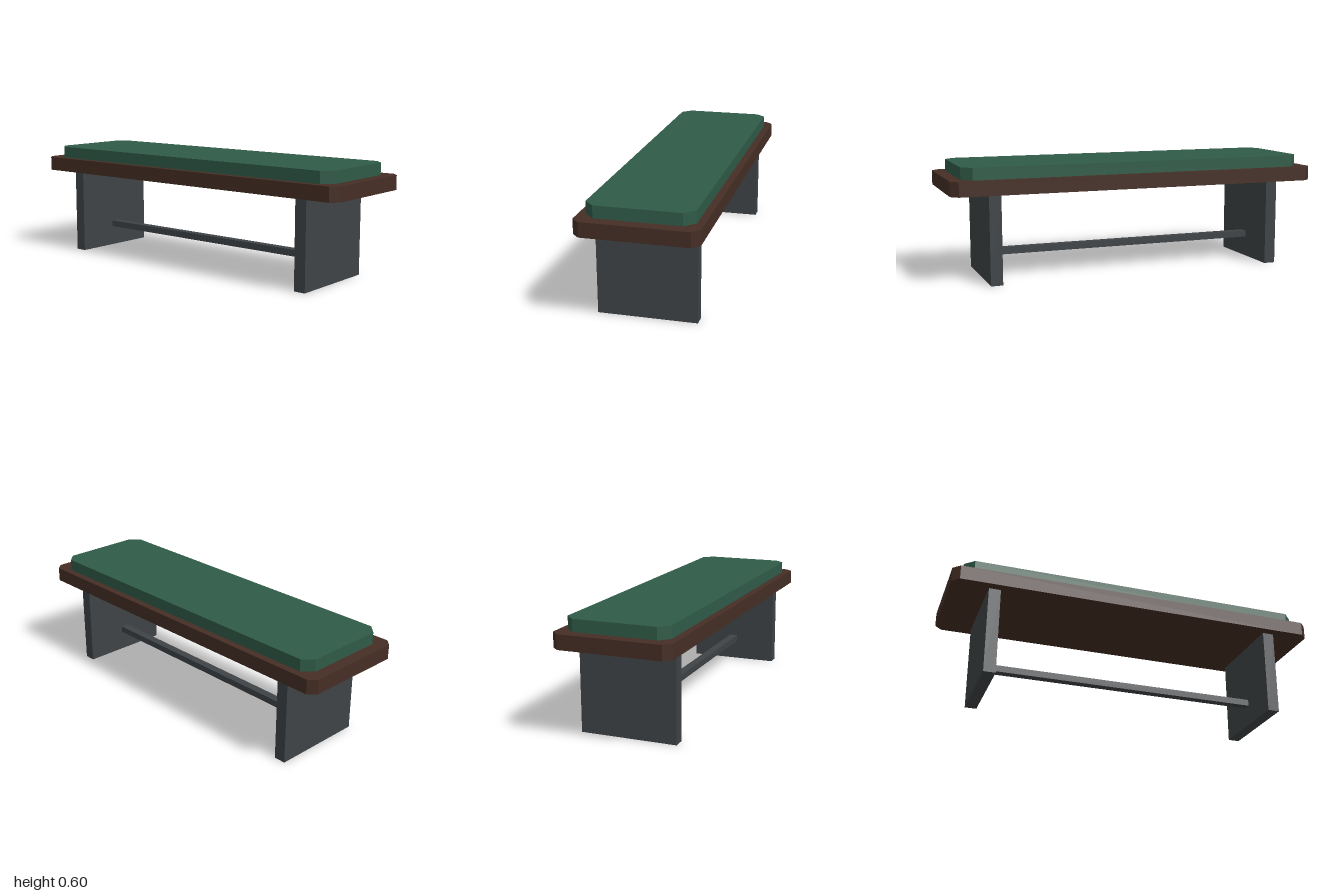
import * as THREE from 'three';

const mat = (color) => new THREE.MeshStandardMaterial({ color, flatShading: true });

// Flat slab with cut corners, standing on height y
function chamferedSlab(width, depth, height, cut, y, material, name) {
  const w = width / 2, d = depth / 2;
  const outline = [
    [w - cut, -d], [w, -d + cut], [w, d - cut], [w - cut, d],
    [-w + cut, d], [-w, d - cut], [-w, -d + cut], [-w + cut, -d],
  ].map(([x, z]) => new THREE.Vector2(x, z));
  const geometry = new THREE.ExtrudeGeometry(new THREE.Shape(outline), { depth: height, bevelEnabled: false });
  geometry.rotateX(-Math.PI / 2);
  const mesh = new THREE.Mesh(geometry, material);
  mesh.position.y = y;
  mesh.name = name;
  return mesh;
}

function box(w, h, d, x, y, material, name) {
  const mesh = new THREE.Mesh(new THREE.BoxGeometry(w, h, d), material);
  mesh.position.set(x, y, 0);
  mesh.name = name;
  return mesh;
}

export function createModel() {
  const bench = new THREE.Group();
  bench.name = 'bench';
  const wood = mat(0x452e24), fabric = mat(0x2f5b48), metal = mat(0x3f4346);

  // Seat board and cushion
  bench.add(chamferedSlab(2, 0.6, 0.075, 0.0375, 0.4625, wood, 'seatBoard'));
  bench.add(chamferedSlab(1.875, 0.525, 0.0625, 0.05, 0.5375, fabric, 'cushion'));

  // Panel legs
  for (const [side, name] of [[1, 'leftLeg'], [-1, 'rightLeg']]) {
    bench.add(box(0.0625, 0.4625, 0.5, side * 0.775, 0.23125, metal, name));
  }

  // Stretcher between the legs
  bench.add(box(1.5, 0.035, 0.045, 0, 0.1285, metal, 'stretcher'));

  return bench;
}
